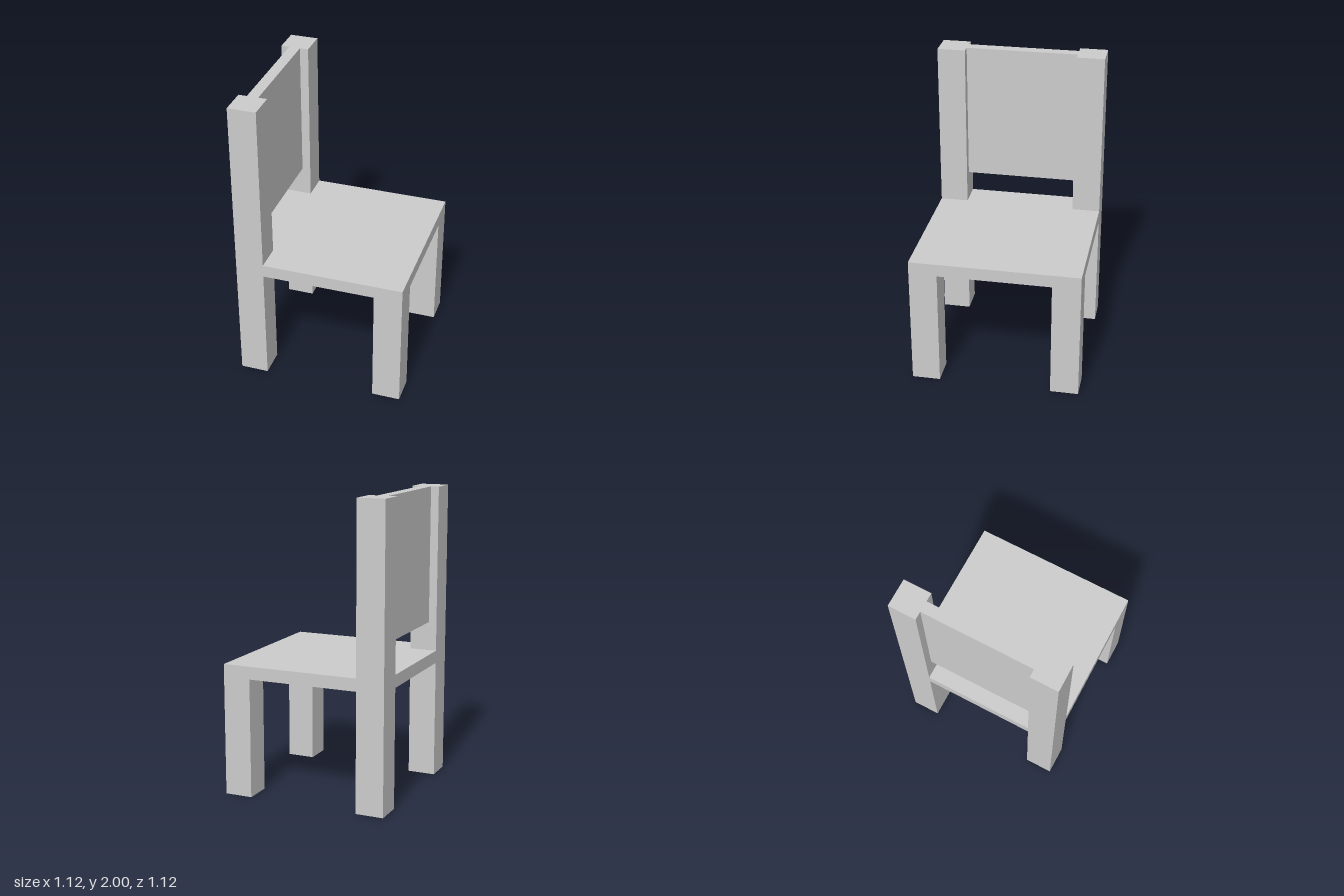
import * as THREE from 'three';

const HALF = 0.5625;      // half width and depth of the chair
const POST = 0.1875;      // square section of legs and posts
const SEAT_LOW = 0.8, SEAT_TOP = 0.885, HEIGHT = 2;
const INNER = HALF - POST;

export function createModel() {
  const chair = new THREE.Group();
  chair.name = 'chair';
  const material = new THREE.MeshStandardMaterial({ color: 0xcccccc, flatShading: true });

  const add = (name, geometry) => {
    const mesh = new THREE.Mesh(geometry, material);
    mesh.name = name;
    chair.add(mesh);
    return mesh;
  };

  // Box given by its lower and upper limits on each axis
  const box = (name, [x0, x1], [y0, y1], [z0, z1]) =>
    add(name, new THREE.BoxGeometry(x1 - x0, y1 - y0, z1 - z0))
      .position.set((x0 + x1) / 2, (y0 + y1) / 2, (z0 + z1) / 2);

  // Seat board, notched at the two rear corners around the back posts
  const outline = [
    [-HALF, -INNER], [-INNER, -INNER], [-INNER, -HALF], [HALF, -HALF],
    [HALF, HALF], [-INNER, HALF], [-INNER, INNER], [-HALF, INNER],
  ].map(([x, z]) => new THREE.Vector2(x, z));
  const seat = new THREE.ExtrudeGeometry(new THREE.Shape(outline), {
    depth: SEAT_TOP - SEAT_LOW, bevelEnabled: false,
  });
  seat.rotateX(-Math.PI / 2).translate(0, SEAT_LOW, 0);
  add('seat', seat);

  // Front legs under the seat, full-height back posts behind (the chair faces +x)
  for (const [side, z] of [['A', [INNER, HALF]], ['B', [-HALF, -INNER]]]) {
    box('frontLeg' + side, [INNER, HALF], [0, SEAT_LOW], z);
    box('backPost' + side, [-HALF, -INNER], [0, HEIGHT], z);
  }

  // Thin back panel between the posts, with a gap above the seat
  box('backPanel', [-0.5075, -0.4325], [1.08, HEIGHT], [-INNER, INNER]);

  return chair;
}
